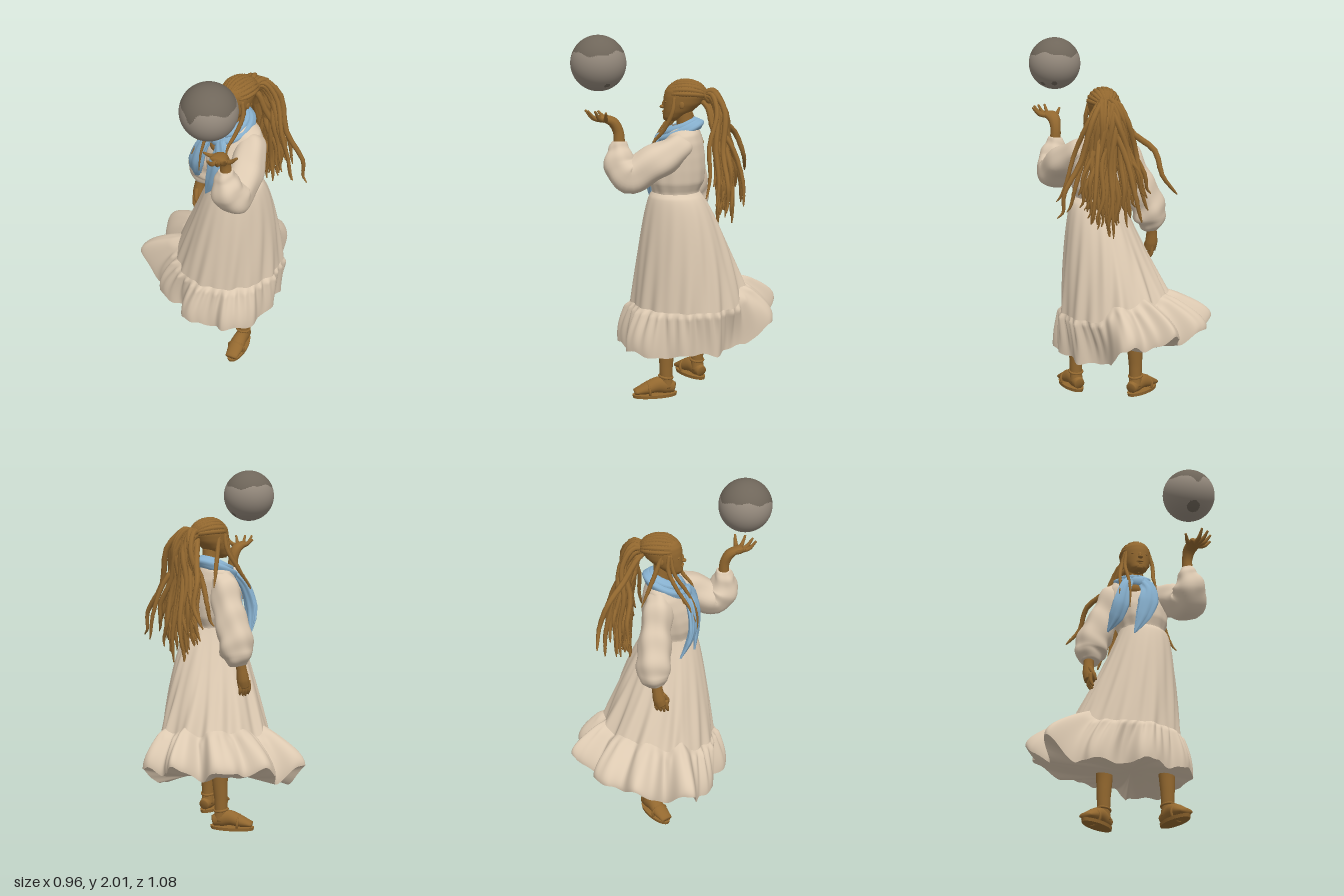
import * as THREE from 'three';

const V = (p) => new THREE.Vector3(...p);
const mat = (name, color, side = THREE.FrontSide) => {
  const m = new THREE.MeshStandardMaterial({ color, side });
  m.name = name;
  return m;
};

// Closed rings joined into a smooth skin; point(i, j) gives [x, y, z]
function loft(rows, cols, point) {
  const pos = [], idx = [];
  for (let i = 0; i <= rows; i++) for (let j = 0; j < cols; j++) pos.push(...point(i, j));
  for (let i = 0; i < rows; i++) for (let j = 0; j < cols; j++) {
    const k = (j + 1) % cols, a = i * cols + j, b = i * cols + k, c = b + cols, d = a + cols;
    idx.push(a, b, c, a, c, d);
  }
  const g = new THREE.BufferGeometry();
  g.setAttribute('position', new THREE.Float32BufferAttribute(pos, 3));
  g.setIndex(idx);
  g.computeVertexNormals();
  return g;
}

const sample = (list, t) => {
  const f = Math.min(t, 0.99999) * (list.length - 1), i = Math.floor(f);
  return list[i].map((v, k) => v + (list[i + 1][k] - v) * (f - i));
};

// Tapered sweep; radii are numbers or [along ref, across]
function sweep(points, radii, { rows = 24, cols = 10, ref = null, fold = () => 0 } = {}) {
  const curve = new THREE.CatmullRomCurve3(points.map(V), false, 'centripetal');
  const rr = radii.map((r) => (Array.isArray(r) ? r : [r, r]));
  const rings = [];
  let n = new THREE.Vector3(0.31, 0.2, 0.93);
  for (let i = 0; i <= rows; i++) {
    const t = Math.min(Math.max((i - 1) / (rows - 2), 0), 1), tan = curve.getTangent(t);
    n = (ref ? V(ref) : n.clone()).addScaledVector(tan, -(ref ? V(ref) : n).dot(tan)).normalize();
    const r = i === 0 || i === rows ? [0, 0] : sample(rr, t);
    rings.push({ t, p: curve.getPoint(t), n, b: tan.clone().cross(n), r });
  }
  return loft(rows, cols, (i, j) => {
    const { t, p, n, b, r } = rings[i], a = (j / cols) * Math.PI * 2, k = 1 + fold(t, a);
    return p.clone().addScaledVector(n, Math.cos(a) * r[0] * k).addScaledVector(b, Math.sin(a) * r[1] * k).toArray();
  });
}

// Upright body from sections [y, centre x, centre z, half width, half depth]
function stack(sections, rows, cols, fold = () => 0) {
  return loft(rows, cols, (i, j) => {
    const t = i / rows, a = (j / cols) * Math.PI * 2, [y, x, z, rx, rz] = sample(sections, t), k = 1 + fold(t, a);
    return [x + Math.sin(a) * rx * k, y, z + Math.cos(a) * rz * k];
  });
}

export function createModel() {
  const root = new THREE.Group();
  const brown = mat('warmBrown', 0x93682f), linen = mat('linen', 0xdcc9b1, THREE.DoubleSide);
  const blue = mat('scarfBlue', 0x86afcd, THREE.DoubleSide);
  const grey = mat('globeGrey', 0x958a7d), dark = mat('globeDark', 0x6f665a);
  const add = (name, geo, m, parent = root) => {
    const mesh = new THREE.Mesh(geo, m);
    mesh.name = name;
    parent.add(mesh);
    return mesh;
  };
  const group = (name) => {
    const g = new THREE.Group();
    g.name = name;
    root.add(g);
    return g;
  };
  const ball = (name, p, s, m, parent) => {
    const b = add(name, new THREE.SphereGeometry(1, 24, 16), m, parent);
    b.position.set(...p);
    b.scale.set(...s);
  };
  let seed = 11;
  const rnd = () => (seed = (seed * 16807) % 2147483647) / 2147483647;

  // Windblown skirt: plan outline of the hem, front first, then round by the left
  const hem = new THREE.CatmullRomCurve3([
    [.05, .33], [.12, .335], [.17, .3], [.24, .25], [.3, .26], [.36, .19], [.4, .1], [.37, .02], [.39, -.08],
    [.33, -.16], [.31, -.25], [.22, -.28], [.16, -.35], [.14, -.46], [.11, -.53], [.05, -.54], [-.02, -.49],
    [-.09, -.51], [-.17, -.54], [-.21, -.48], [-.23, -.38], [-.33, -.385], [-.41, -.3], [-.4, -.22], [-.48, -.13],
    [-.45, -.04], [-.37, .03], [-.42, .12], [-.42, .2], [-.32, .2], [-.24, .21], [-.2, .26], [-.1, .28], [-.02, .25],
  ].map(([x, z]) => new THREE.Vector3(x, 0, z)), true);
  const COLS = 272;
  const spokes = Array.from({ length: COLS }, (_, j) => {
    const h = hem.getPoint(j / COLS), a = Math.atan2(h.x - 0.02, h.z + 0.07), d = Math.hypot(h.x - 0.08, h.z);
    h.y = 0.257 + 1.05 * Math.max(0, d - 0.4) + 0.01 * Math.sin(j * 0.21) + 0.006 * Math.sin(j * 0.53);
    const rise = 0.5 * Math.max(0, d - 0.35);
    return { h, a, seam: [0.07 + 0.3 * Math.sin(a), 0.5 + rise, -0.06 + 0.32 * Math.cos(a)] };
  });
  const skirtPoint = (j, t) => {
    const { a, seam } = spokes[j], s = Math.sin(a), c = Math.cos(a), out = Math.pow(t, 0.74 - 0.38 * s - 0.06 * c);
    const k = 1 + t * (0.024 * Math.sin(13 * a + 5 * t) + 0.016 * Math.sin(22 * a + 3 * t) - 0.012);
    const wx = 0.145 + 0.13 * s, wz = 0.13 * c;
    return [0.07 + (wx + (seam[0] - wx) * out - 0.07) * k, 1.14 + (seam[1] - 1.14) * t, (wz + (seam[2] - wz) * out) * k];
  };
  add('skirt', loft(40, COLS, (i, j) => skirtPoint(j, 1 - i / 40)), linen);
  add('hemRuffle', loft(24, COLS, (i, j) => {
    const { a, h } = spokes[j], w = 1 - i / 24, [x, y, z] = skirtPoint(j, 1);
    const out = Math.sin(w * Math.PI / 2), puff = 0.01 * (1 - w) * (1.3 + Math.sin(38 * a)) * Math.min(1, w * 10);
    return [x + (h.x - x) * out + Math.sin(a) * puff, y + (h.y - y) * w, z + (h.z - z) * out + Math.cos(a) * puff];
  }), linen);
  add('skirtUnderside', loft(10, COLS, (i, j) => {
    const { h } = spokes[j], f = i / 10;
    return [0.08 + (h.x - 0.08) * f, 0.3 + (h.y - 0.3) * f * f, h.z * f];
  }), linen);

  // Bodice
  add('bodice', stack([
    [1.12, .145, 0, .128, .125], [1.15, .145, 0, .132, .13], [1.2, .145, -.005, .152, .15], [1.27, .14, -.01, .162, .152],
    [1.34, .135, -.02, .168, .14], [1.41, .13, -.035, .168, .115], [1.46, .13, -.045, .145, .09], [1.5, .125, -.05, .075, .07],
  ], 36, 72, (t, a) => 0.02 * Math.sin(12 * a + 5 * t) * (1 - t)), linen);

  // Sleeves and arms
  const creases = (t, a) => 0.05 * Math.sin(9 * t * Math.PI + 2 * Math.sin(a)) + 0.04 * Math.sin(5 * a + 7 * t);
  const sleeve = { rows: 48, cols: 40, fold: creases };
  add('rightSleeve', sweep([[.04, 1.42, -.05], [-.005, 1.37, -.05], [-.055, 1.25, -.06], [-.11, 1.12, -.06], [-.135, 1.02, -.06], [-.14, .955, -.05]],
    [.06, .08, .085, .096, .092, .05], sleeve), linen);
  add('leftSleeve', sweep([[.2, 1.41, -.05], [.25, 1.385, -.02], [.32, 1.32, .1], [.36, 1.26, .23], [.36, 1.32, .275], [.35, 1.39, .28], [.345, 1.44, .28]],
    [.06, .082, .096, .1, .09, .062, .038], sleeve), linen);

  // Hands
  const rightHand = group('rightHand');
  add('rightWrist', sweep([[-.14, 1.02, -.055], [-.15, .93, -.04], [-.15, .87, -.03], [-.145, .83, -.02]], [.03, .03, .036, .034], { ref: [1, 0, 0] }), brown, rightHand);
  for (let i = 0; i < 4; i++) {
    const z = -0.05 + i * 0.02;
    add('finger', sweep([[-.15, .86, z], [-.148, .81, z + .004], [-.135, .77 + .008 * Math.abs(i - 1.5), z + .008]], [.012, .011, .006], { rows: 12, cols: 8 }), brown, rightHand);
  }
  add('thumb', sweep([[-.15, .9, -.01], [-.13, .85, .015], [-.12, .82, .015]], [.014, .012, .007], { rows: 12, cols: 8 }), brown, rightHand);
  const leftHand = group('leftHand');
  add('leftWrist', sweep([[.35, 1.4, .28], [.345, 1.49, .285], [.35, 1.54, .31], [.365, 1.562, .35], [.375, 1.57, .38]],
    [.032, .029, [.036, .028], [.044, .02], [.038, .013]], { ref: [1, 0, 0] }), brown, leftHand);
  [[.47, 1.605, .33], [.455, 1.61, .39], [.425, 1.61, .435], [.385, 1.61, .455], [.305, 1.595, .4]].forEach(([x, y, z], i) => {
    const base = [i < 4 ? .392 - i * .008 : .345, 1.557, i < 4 ? .345 + i * .011 : .33];
    add(i < 4 ? 'finger' : 'thumb', sweep([base, [(base[0] + x) / 2, 1.567, (base[2] + z) / 2], [x, y, z]], [.014, .012, .006], { rows: 14, cols: 8 }), brown, leftHand);
  });

  // Neck, head and face
  add('neck', sweep([[.125, 1.4, -.04], [.125, 1.47, -.05], [.127, 1.58, -.045]], [.06, .045, .046], { cols: 20 }), brown);
  ball('neckline', [.095, 1.375, .05], [.055, .05, .066], brown);
  const head = group('head');
  add('skull', stack([
    [1.522, .127, .03, .004, .004], [1.526, .127, .028, .03, .03], [1.545, .127, .014, .05, .056], [1.58, .127, -.012, .068, .08],
    [1.62, .127, -.035, .079, .103], [1.66, .127, -.048, .084, .114], [1.69, .127, -.053, .083, .112], [1.715, .127, -.056, .073, .098],
    [1.735, .127, -.058, .051, .07], [1.745, .127, -.06, .028, .038], [1.748, .127, -.06, .002, .002],
  ], 40, 48), brown, head);
  ball('noseBridge', [.127, 1.616, .064], [.011, .022, .012], brown, head);
  ball('noseTip', [.127, 1.602, .075], [.016, .01, .014], brown, head);
  ball('upperLip', [.127, 1.576, .062], [.022, .007, .014], brown, head);
  ball('lowerLip', [.127, 1.565, .06], [.018, .008, .013], brown, head);
  ball('chin', [.127, 1.542, .05], [.024, .018, .02], brown, head);
  for (const s of [-1, 1]) {
    ball('eye', [.127 + s * .034, 1.632, .049], [.015, .007, .009], brown, head);
    ball('ear', [.127 + s * .077, 1.62, -.04], [.008, .022, .014], brown, head);
  }

  // Cornrows swept back to a tied ponytail of loose braids
  const hair = group('hair');
  for (let k = -5; k <= 5; k++) {
    const phi = k * 0.27, front = 0.68 + Math.abs(phi) * 0.18, path = [];
    for (let i = 0; i <= 8; i++) {
      const th = front + (2.95 - front) * (i / 8), s = Math.sin(th);
      path.push([.127 + .081 * Math.sin(phi) * s, 1.66 + .083 * Math.cos(phi) * s, -.053 + .113 * Math.cos(th)]);
    }
    add('cornrow', sweep(path, [.006, .013, .013, .013, .009], { rows: 36, cols: 8, fold: (t) => 0.12 * Math.sin(t * 90) }), brown, hair);
  }
  const tie = add('hairTie', new THREE.TorusGeometry(0.034, 0.013, 10, 28), brown, hair);
  tie.position.set(.127, 1.66, -.168);
  tie.rotation.x = 0.4;
  const braid = (path, r = 0.016) => add('braid', sweep(path, [r * .8, r, r, r * .85, r * .55, r * .2],
    { rows: 40, cols: 7, fold: (t, a) => 0.08 * Math.sin(t * 100 + a) }), brown, hair);
  // A braid from the tie to a tip, bowed backward and curling at its end
  const falling = (x, y, z) => {
    const ox = (rnd() - .5) * .08, oy = (rnd() - .5) * .09, sway = (rnd() - .5) * .04, dx = x - .127, drop = 1.62 - y;
    braid([[.127 + ox * .6, 1.655 + oy * .5, -.145], [.127 + ox + dx * .08, 1.645 + oy, -.19 - oy * .3],
      [.127 + ox + dx * .3, 1.55 + oy, -.155 + z * .3 - oy * .7], [.127 + ox * .6 + dx * .58 + sway, y + drop * .55, z * .65 - .075],
      [.127 + dx * .82 - sway, y + drop * .24, z * .88 - .04], [.127 + dx * .92 + sway * .4, y + drop * .06, z * .96 - .015], [x, y, z]], .013 + rnd() * .005);
  };
  for (let i = 0; i < 40; i++) {
    const s = ((i * 0.618) % 1) * 2 - 1;
    falling(.13 + s * .19 + (rnd() - .5) * .04, .91 + .2 * Math.abs(s) + rnd() * .12, -.22 - rnd() * .1);
  }
  [[-.22, 1.2, -.36], [.25, 1.08, -.38], [.42, 1.08, -.3], [.41, 1.15, -.19], [-.11, 1.18, -.2], [-.03, 1.05, -.35],
    [.36, 1.1, -.24], [-.08, 1.1, -.27]].forEach((p) => falling(...p));
  // Loose braids beside the face
  braid([[.055, 1.66, .0], [.035, 1.58, .0], [.01, 1.48, .05], [-.005, 1.38, .12], [-.02, 1.3, .16]], .012);
  braid([[.06, 1.66, .01], [.045, 1.56, .03], [.045, 1.45, .1], [.045, 1.33, .155], [.04, 1.22, .165]], .011);
  braid([[.2, 1.66, .0], [.215, 1.58, .01], [.205, 1.48, .06], [.2, 1.42, .11], [.205, 1.35, .135]], .012);
  braid([[.055, 1.65, -.04], [.03, 1.56, -.07], [.005, 1.48, -.1], [-.015, 1.43, -.12], [-.03, 1.38, -.14]], .013);

  // Scarf: two neck wraps, a knot and two pointed tails
  const scarf = group('scarf');
  const wrap = (y, rx, rz, r, tilt) => {
    const path = [];
    for (let i = 0; i <= 12; i++) {
      const a = (i / 12) * Math.PI * 2;
      path.push([.113 + rx * Math.sin(a), y - tilt * Math.cos(a), -.025 + rz * Math.cos(a)]);
    }
    add('wrap', sweep(path, [r, r], { rows: 50, cols: 20, fold: (t, a) => 0.12 * Math.sin(4 * a + 9 * t) }), blue, scarf);
  };
  wrap(1.484, .066, .08, .03, .03);
  wrap(1.465, .092, .098, .028, .045);
  ball('knot', [.105, 1.42, .095], [.045, .035, .026], blue, scarf);
  const pleat = { rows: 30, cols: 28, ref: [0, 0, 1], fold: (t, a) => 0.16 * Math.sin(6 * a + 3 * t) };
  add('rightTail', sweep([[.06, 1.43, .09], [.025, 1.36, .125], [-.005, 1.25, .14], [-.03, 1.17, .12], [-.07, 1.09, .08]],
    [[.02, .025], [.02, .035], [.02, .046], [.016, .04], [.004, .004]], pleat), blue, scarf);
  add('leftTail', sweep([[.13, 1.43, .09], [.16, 1.36, .125], [.152, 1.28, .145], [.12, 1.18, .15], [.07, 1.07, .145]],
    [[.02, .03], [.02, .046], [.02, .056], [.016, .042], [.004, .004]], pleat), blue, scarf);

  // Legs and sandals
  for (const [side, x, z, turn] of [['left', .275, .04, .32], ['right', -.045, -.105, -.82]]) {
    const leg = group(side + 'Leg');
    leg.position.set(x, 0, z);
    leg.rotation.y = turn;
    add('shin', sweep([[0, .36, 0], [0, .3, -.005], [0, .18, 0], [0, .1, 0], [0, .05, -.005]], [.048, .046, .038, .035, .037], { cols: 20, ref: [0, 0, 1] }), brown, leg);
    add('foot', sweep([[0, .045, -.045], [0, .058, 0], [0, .066, .05], [0, .05, .11], [0, .032, .18]], [[.03, .03], [.045, .037], [.044, .04], [.034, .046], [.014, .034]], { cols: 20, ref: [0, 1, 0] }), brown, leg);
    const sole = add('sole', new THREE.CylinderGeometry(1, .96, .018, 40), brown, leg);
    sole.position.set(0, .009, .065);
    sole.scale.set(.05, 1, .127);
    for (const [y, pz, r, tilt, sx] of [[.11, .002, .037, 1.4, 1], [.042, .1, .042, .1, 1.12]]) {
      const strap = add('strap', new THREE.TorusGeometry(r, .007, 8, 32), brown, leg);
      strap.position.set(0, y, pz);
      strap.rotation.x = tilt;
      strap.scale.x = sx;
    }
  }

  // Floating globe with a dark cap and spots, split by faces
  const globe = new THREE.SphereGeometry(0.148, 128, 80).toNonIndexed();
  const p = globe.attributes.position, c = new THREE.Vector3(), v = new THREE.Vector3();
  const spots = [[0, -.82, .57, .25], [.53, -.75, -.4, .11], [.11, -.73, -.67, .11]];
  for (let f = 0; f < p.count; f += 3) {
    c.set(0, 0, 0);
    for (let k = 0; k < 3; k++) c.add(v.fromBufferAttribute(p, f + k));
    c.normalize();
    const a = Math.atan2(c.x, c.z);
    const edge = 0.38 + 0.07 * Math.sin(3 * a) + 0.03 * Math.sin(8 * a) - 0.4 * Math.exp(-(((a - 0.1) / 0.2) ** 2));
    const spot = spots.some(([x, y, z, r]) => Math.hypot(c.x - x, c.y - y, c.z - z) < r);
    const m = c.y > edge || spot ? 1 : 0, last = globe.groups[globe.groups.length - 1];
    if (last && last.materialIndex === m) last.count += 3;
    else globe.addGroup(f, 3, m);
  }
  add('globe', globe, [grey, dark]).position.set(.332, 1.853, .39);

  return root;
}
